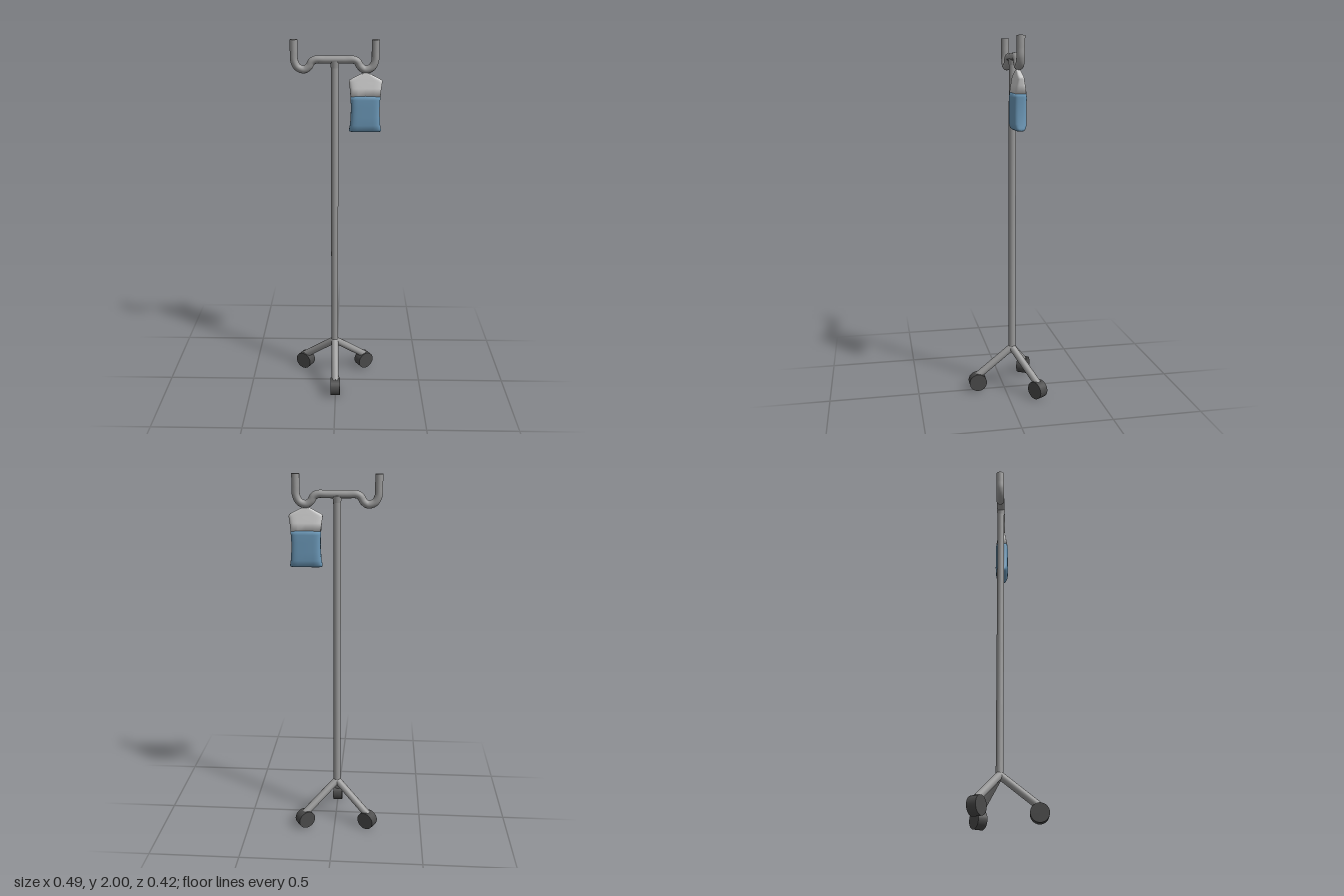
import * as THREE from 'three';

const V = (x, y, z) => new THREE.Vector3(x, y, z);
const CX = -0.008, CZ = -0.047; // pole axis

const metal = new THREE.MeshStandardMaterial({ color: 0x999999 });
const rubber = new THREE.MeshStandardMaterial({ color: 0x4a4a4a });
const clear = new THREE.MeshStandardMaterial({ color: 0xcccccc });
const fluid = new THREE.MeshStandardMaterial({ color: 0x6b98b8 });

function add(parent, name, geometry, material) {
  const mesh = new THREE.Mesh(geometry, material);
  mesh.name = name;
  parent.add(mesh);
  return mesh;
}

// Straight round bar between two points
function bar(parent, name, a, b, r) {
  const mesh = add(parent, name, new THREE.CylinderGeometry(r, r, a.distanceTo(b), 20), metal);
  mesh.position.lerpVectors(a, b, 0.5);
  mesh.quaternion.setFromUnitVectors(V(0, 1, 0), b.clone().sub(a).normalize());
  return mesh;
}

// Closed skin over rounded-rectangle sections [y, half width, half depth, sag at the sides]
function loft(sections, n = 48) {
  const pos = [], index = [];
  const pow = (v, e) => Math.sign(v) * Math.abs(v) ** e;
  const ring = ([y, w, d, sag = 0]) => {
    for (let i = 0; i < n; i++) {
      const t = (i / n) * Math.PI * 2;
      const u = pow(Math.cos(t), 0.35);
      pos.push(w * u, y - sag * u * u, d * pow(Math.sin(t), 0.6));
    }
  };
  sections.forEach(ring);
  for (let j = 0; j < sections.length - 1; j++) {
    for (let i = 0; i < n; i++) {
      const a = j * n + i, b = j * n + (i + 1) % n;
      index.push(a, a + n, b, b, a + n, b + n);
    }
  }
  // end caps
  const last = (sections.length - 1) * n;
  const c = pos.length / 3;
  pos.push(0, sections[0][0], 0, 0, sections[sections.length - 1][0], 0);
  for (let i = 0; i < n; i++) {
    const k = (i + 1) % n;
    index.push(c, i, k, c + 1, last + k, last + i);
  }
  const g = new THREE.BufferGeometry();
  g.setAttribute('position', new THREE.Float32BufferAttribute(pos, 3));
  g.setIndex(index);
  g.computeVertexNormals();
  return g;
}

export function createModel() {
  const group = new THREE.Group();
  group.name = 'dripStand';

  // Pole with a slight flare under the crossbar
  const hub = V(CX, 0.245, CZ);
  bar(group, 'pole', hub, V(CX, 1.9, CZ), 0.02);
  const flare = add(group, 'poleFlare', new THREE.CylinderGeometry(0.025, 0.02, 0.035, 20), metal);
  flare.position.set(CX, 1.872, CZ);
  add(group, 'hub', new THREE.SphereGeometry(0.0215, 20, 14), metal).position.copy(hub);

  // Three legs, each ending on a wheel
  const feet = [['front', -0.001, 0.157], ['left', 0.17, -0.162], ['right', -0.191, -0.153]];
  for (const [side, x, z] of feet) {
    bar(group, side + 'Leg', hub, V(x, 0.085, z), 0.021);
    const geo = new THREE.CylinderGeometry(0.05, 0.05, 0.054, 28).rotateZ(Math.PI / 2);
    const wheel = add(group, side + 'Wheel', geo, rubber);
    wheel.position.set(x, 0.05, z);
    wheel.rotation.y = side === 'front' ? 0 : Math.atan2(x - CX, z - CZ);
  }

  // Crossbar dipping into a valley and rising to a prong at each end
  const half = [
    [0.214, 2], [0.214, 1.94], [0.212, 1.89], [0.194, 1.857], [0.16, 1.846],
    [0.136, 1.862], [0.12, 1.887], [0.1, 1.897], [0.05, 1.897],
  ];
  const path = [
    ...half.map(([x, y]) => V(-x, y, 0)),
    ...half.slice().reverse().map(([x, y]) => V(x, y, 0)),
  ];
  const hanger = new THREE.Group();
  hanger.name = 'hanger';
  hanger.position.set(CX, 0, CZ);
  hanger.scale.z = 1.1;
  group.add(hanger);
  add(hanger, 'crossbar', new THREE.TubeGeometry(new THREE.CatmullRomCurve3(path), 120, 0.0205, 18), metal);
  for (const s of [-1, 1]) {
    const cap = add(hanger, 'prongCap', new THREE.CircleGeometry(0.0205, 18).rotateX(-Math.PI / 2), metal);
    cap.position.set(s * 0.214, 2, 0);
  }

  // Fluid bag hanging from the left valley
  const bag = new THREE.Group();
  bag.name = 'bag';
  bag.position.set(0.156, 0, -0.043);
  group.add(bag);
  add(bag, 'bagFluid', loft([
    [1.518, 0.082, 0.018], [1.522, 0.086, 0.025], [1.535, 0.085, 0.033], [1.555, 0.081, 0.037],
    [1.6, 0.078, 0.037], [1.65, 0.077, 0.037], [1.69, 0.079, 0.037], [1.713, 0.08, 0.035, 0.006],
  ]), fluid);
  add(bag, 'bagTop', loft([
    [1.713, 0.08, 0.035, 0.006], [1.75, 0.084, 0.028], [1.782, 0.089, 0.021], [1.792, 0.087, 0.019],
    [1.802, 0.07, 0.017], [1.815, 0.044, 0.014], [1.825, 0.024, 0.012], [1.83, 0.01, 0.01],
  ]), clear);

  return group;
}
